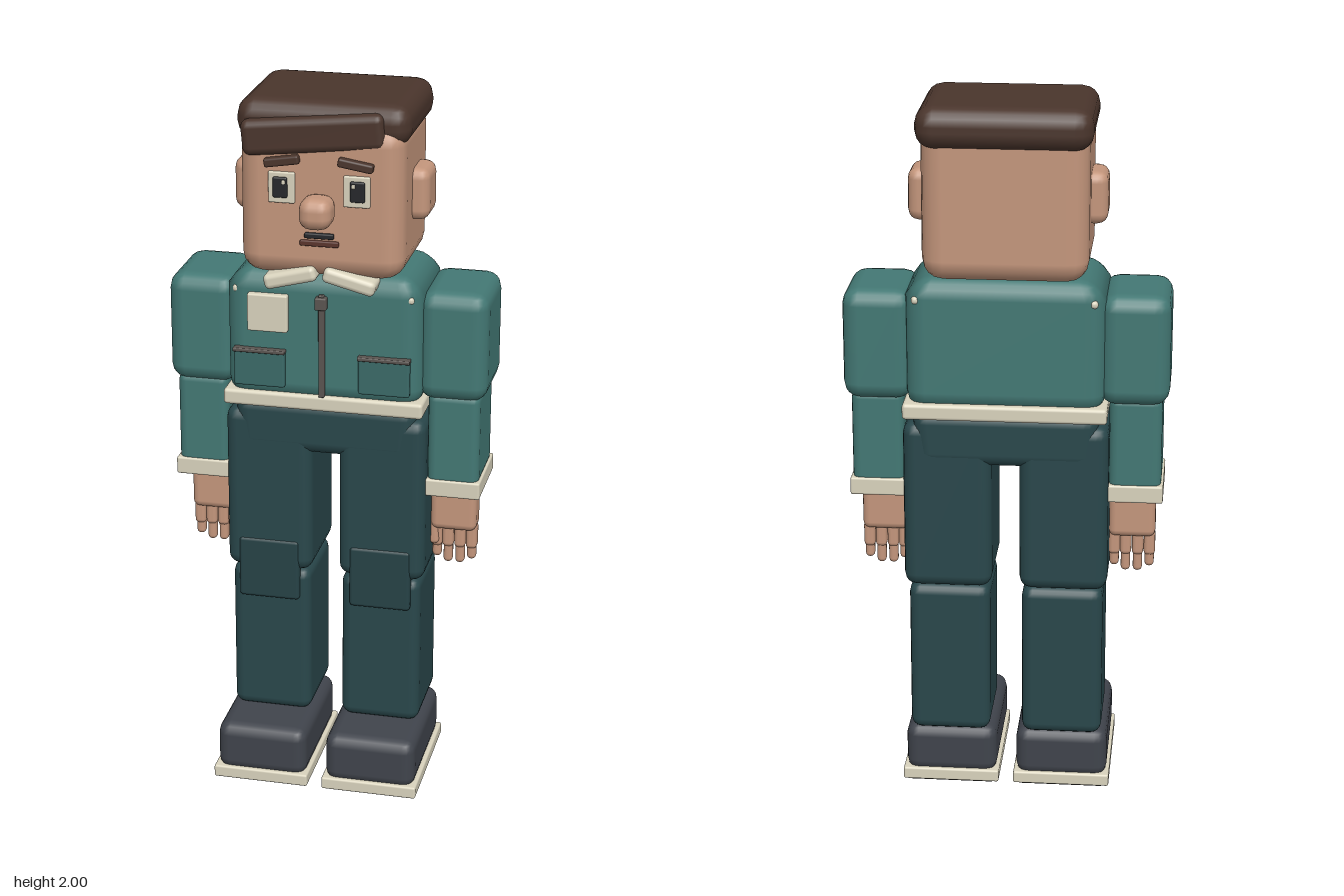
import * as THREE from 'three';
import { RoundedBoxGeometry } from 'three/addons/geometries/RoundedBoxGeometry.js';

const mat = (color) => new THREE.MeshStandardMaterial({ color });
const skin = mat(0xc4967c), hair = mat(0x4a352c), teal = mat(0x437874), tealDark = mat(0x3b6a68);
const pants = mat(0x29474b), patch = mat(0x264246), shoe = mat(0x40444c), outsole = mat(0x202225);
const cream = mat(0xd9d3bd), dark = mat(0x25272a), metal = mat(0x5a5450), lip = mat(0x5a342c);

export function createModel() {
  const model = new THREE.Group();

  // Rounded block given by its extents [min, max] on each axis
  function block(name, material, [x0, x1], [y0, y1], [z0, z1], radius = 0.01, parent = model) {
    const w = x1 - x0, h = y1 - y0, d = z1 - z0;
    const r = Math.min(radius, 0.48 * Math.min(w, h, d));
    const mesh = new THREE.Mesh(new RoundedBoxGeometry(w, h, d, 2, r), material);
    mesh.position.set((x0 + x1) / 2, (y0 + y1) / 2, (z0 + z1) / 2);
    mesh.name = name;
    parent.add(mesh);
    return mesh;
  }

  // Same block on both sides; the range is for the model's left (+x)
  function pair(name, material, [x0, x1], y, z, radius, tilt = 0) {
    for (const s of [1, -1]) {
      const x = s > 0 ? [x0, x1] : [-x1, -x0];
      const mesh = block((s > 0 ? 'left' : 'right') + name, material, x, y, z, radius);
      mesh.rotation.z = s * tilt;
    }
  }

  // Narrow one end of a block by scaling the vertices in its rounded rim
  function narrow(mesh, rim, sx, sz, end = 1) {
    const p = mesh.geometry.attributes.position;
    mesh.geometry.computeBoundingBox();
    const top = mesh.geometry.boundingBox.max.y;
    for (let i = 0; i < p.count; i++) {
      const t = THREE.MathUtils.clamp((end * p.getY(i) - (top - rim)) / rim, 0, 1);
      p.setX(i, p.getX(i) * (1 - sx * t));
      p.setZ(i, p.getZ(i) * (1 - sz * t));
    }
  }

  // Head and hair
  block('head', skin, [-0.225, 0.225], [1.52, 1.95], [-0.215, 0.155], 0.06);
  block('hair', hair, [-0.237, 0.237], [1.885, 2], [-0.24, 0.14], 0.05);
  const fringe = block('fringe', hair, [-0.213, 0.173], [1.868, 1.966], [0.115, 0.165], 0.022);
  fringe.rotation.set(0, 0.04, 0.09);

  // Face
  pair('Ear', skin, [0.2, 0.27], [1.66, 1.805], [-0.105, 0.028], 0.03);
  block('nose', skin, [-0.045, 0.045], [1.675, 1.762], [0.135, 0.233], 0.034);
  pair('Eye', cream, [0.066, 0.138], [1.73, 1.815], [0.145, 0.163], 0.004);
  pair('Pupil', dark, [0.085, 0.125], [1.745, 1.802], [0.155, 0.168], 0.005);
  pair('EyeGlint', cream, [0.09, 0.1], [1.783, 1.795], [0.163, 0.171], 0.003);
  pair('Eyebrow', hair, [0.052, 0.148], [1.834, 1.858], [0.145, 0.175], 0.006, -0.16);
  block('upperLip', dark, [-0.04, 0.04], [1.637, 1.652], [0.148, 0.165], 0.004);
  block('lowerLip', lip, [-0.053, 0.053], [1.615, 1.631], [0.148, 0.163], 0.004);

  // Jacket body with sloping shoulders
  const jacket = block('jacket', teal, [-0.273, 0.273], [1.15, 1.525], [-0.2, 0.127], 0.055);
  narrow(jacket, 0.055, 0.1, 0.06);
  block('jacketHem', cream, [-0.28, 0.28], [1.13, 1.175], [-0.21, 0.132], 0.01);
  pair('Collar', cream, [0.008, 0.155], [1.5, 1.542], [0.09, 0.17], 0.014, -0.25);
  block('zipper', metal, [-0.008, 0.008], [1.175, 1.47], [0.12, 0.14], 0.003);
  block('zipperPull', metal, [-0.016, 0.016], [1.43, 1.465], [0.125, 0.15], 0.004);
  pair('Pocket', tealDark, [0.103, 0.245], [1.195, 1.3], [0.12, 0.142], 0.006);
  pair('PocketTrim', metal, [0.101, 0.247], [1.293, 1.304], [0.122, 0.148], 0.003);
  block('chestPatch', cream, [-0.205, -0.093], [1.357, 1.463], [0.12, 0.147], 0.005);
  for (const z of [-0.188, 0.112])
    pair('ShoulderRivet', cream, [0.23, 0.252], [1.455, 1.477], [z - 0.011, z + 0.011], 0.01);

  // Arms
  pair('UpperArm', teal, [0.255, 0.447], [1.17, 1.482], [-0.175, 0.092], 0.045);
  pair('Forearm', teal, [0.283, 0.428], [0.915, 1.19], [-0.147, 0.075], 0.025);
  pair('Cuff', cream, [0.28, 0.434], [0.885, 0.935], [-0.153, 0.08], 0.006);
  pair('Palm', skin, [0.282, 0.413], [0.75, 0.89], [-0.075, 0.004], 0.02);

  // Fingers: two segments each, the middle ones longest
  [0.298, 0.33, 0.364, 0.397].forEach((x, i) => {
    const tip = i % 3 ? 0.64 : 0.655;
    pair('FingerBase', skin, [x - 0.016, x + 0.016], [0.69, 0.765], [-0.058, -0.016], 0.012);
    pair('FingerTip', skin, [x - 0.013, x + 0.013], [tip, 0.705], [-0.054, -0.022], 0.012);
  });
  pair('Thumb', skin, [0.275, 0.303], [0.7, 0.78], [-0.045, -0.005], 0.012, 0.1);

  // Trousers
  const pelvis = block('pelvis', pants, [-0.255, 0.255], [0.985, 1.15], [-0.19, 0.11], 0.04);
  narrow(pelvis, 0.05, 0.18, 0.05, -1);
  pair('Thigh', pants, [0.038, 0.284], [0.625, 1.11], [-0.185, 0.107], 0.035);
  pair('Shin', pants, [0.045, 0.272], [0.175, 0.625], [-0.17, 0.094], 0.03);
  pair('KneePatch', patch, [0.073, 0.247], [0.537, 0.72], [0.08, 0.111], 0.01);

  // Shoes
  pair('Shoe', shoe, [0.028, 0.288], [0.03, 0.178], [-0.157, 0.233], 0.035);
  pair('SoleRim', cream, [0.021, 0.296], [0.01, 0.046], [-0.163, 0.24], 0.006);
  pair('Outsole', outsole, [0.04, 0.277], [0, 0.02], [-0.145, 0.222], 0.004);

  return model;
}
